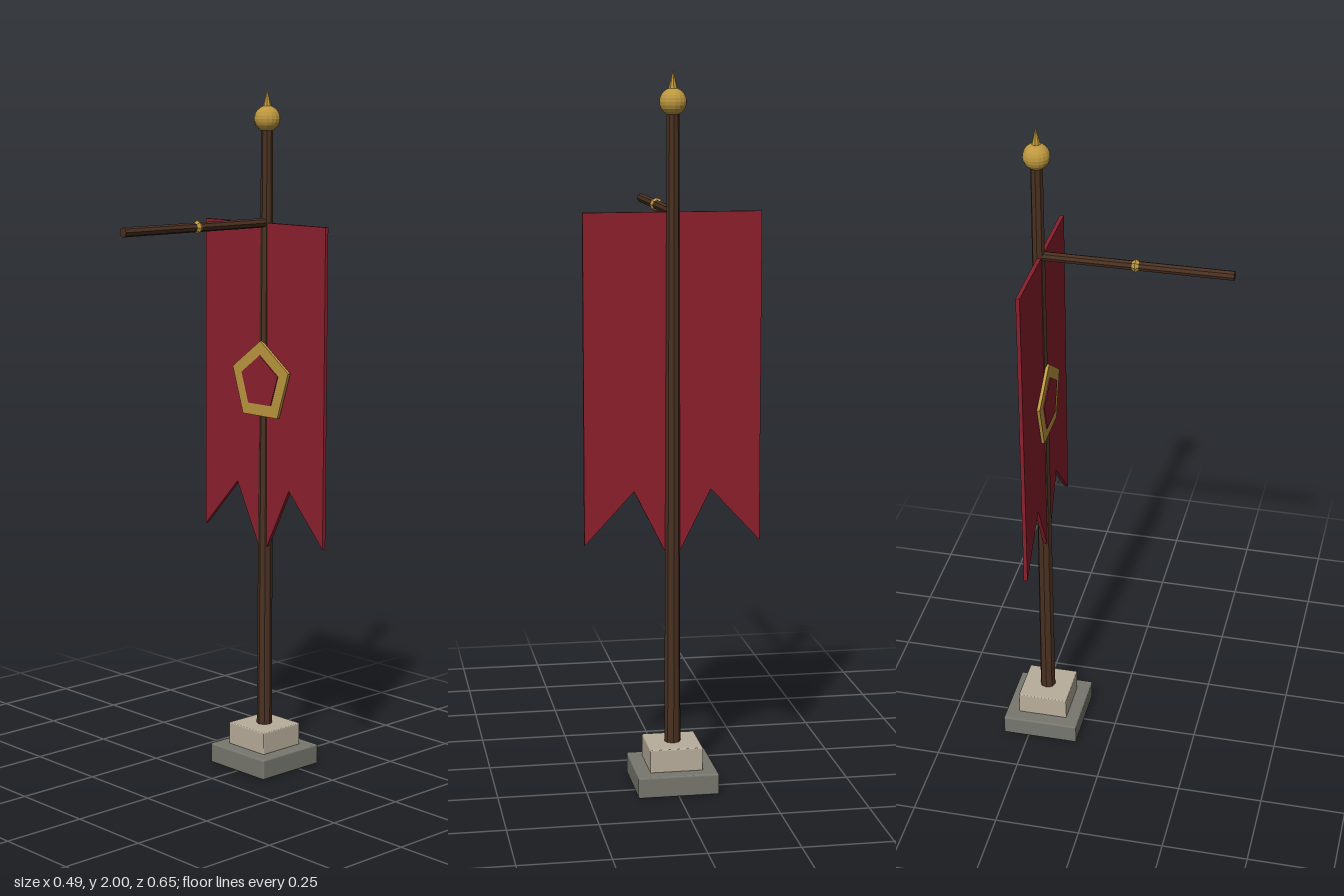
import * as THREE from 'three';
import { RoundedBoxGeometry } from 'three/addons/geometries/RoundedBoxGeometry.js';

const material = (name, color) => {
  const m = new THREE.MeshStandardMaterial({ color, flatShading: true });
  m.name = name;
  return m;
};

export function createModel() {
  const wood = material('dark wood', 0x4a3122);
  const red = material('red cloth', 0x8c1f2d);
  const gold = material('gold', 0xbe983f);
  const stone = material('grey stone', 0x77776f);
  const paleStone = material('pale stone', 0xb9ae9c);

  const model = new THREE.Group();
  model.name = 'bannerPole';
  const poleZ = -0.213;
  const add = (name, geometry, mat, x, y, z) => {
    const mesh = new THREE.Mesh(geometry, mat);
    mesh.name = name;
    mesh.position.set(x, y, z);
    model.add(mesh);
    return mesh;
  };

  // Stepped plinth
  add('lowerPlinth', new RoundedBoxGeometry(0.228, 0.06, 0.228, 2, 0.005), stone, 0, 0.03, poleZ);
  add('upperPlinth', new RoundedBoxGeometry(0.15, 0.068, 0.15, 2, 0.004), paleStone, 0, 0.092, poleZ);

  // Tapered upright and its finial
  add('pole', new THREE.CylinderGeometry(0.017, 0.023, 1.79, 8), wood, 0, 1.005, poleZ);
  add('finialBall', new THREE.SphereGeometry(0.0375, 16, 12), gold, 0, 1.915, poleZ);
  add('finialSpike', new THREE.ConeGeometry(0.015, 0.06, 8), gold, 0, 1.97, poleZ);

  // Arm reaching forward, with a faceted bead at its middle
  const arm = add('arm', new THREE.CylinderGeometry(0.0135, 0.0135, 0.54, 8), wood, 0, 1.62, 0.057);
  arm.rotation.x = Math.PI / 2;
  const beadProfile = [[0.01, -0.0145], [0.0195, 0], [0.01, 0.0145]].map(p => new THREE.Vector2(...p));
  const bead = add('armBead', new THREE.LatheGeometry(beadProfile, 8), gold, 0, 1.62, 0.057);
  bead.rotation.x = Math.PI / 2;

  // Banner with three pointed tails
  const outline = [
    [-0.247, 1.62], [-0.247, 0.7], [-0.108, 0.85], [0, 0.635],
    [0.108, 0.85], [0.247, 0.7], [0.247, 1.62],
  ].map(p => new THREE.Vector2(...p));
  const cloth = new THREE.ExtrudeGeometry(new THREE.Shape(outline), { depth: 0.011, bevelEnabled: false });
  add('banner', cloth, red, 0, 0, -0.213);

  // Five-sided emblem: gold plate with a red centre
  const pentagon = (name, radius, depth, mat, z) => {
    const points = Array.from({ length: 5 }, (_, i) => {
      const a = Math.PI / 2 + (i * Math.PI * 2) / 5;
      return new THREE.Vector2(radius * Math.cos(a), radius * Math.sin(a));
    });
    const geometry = new THREE.ExtrudeGeometry(new THREE.Shape(points), { depth, bevelEnabled: false });
    add(name, geometry, mat, 0, 1.158, z);
  };
  pentagon('emblemPlate', 0.1215, 0.009, gold, -0.198);
  pentagon('emblemCentre', 0.079, 0.006, red, -0.192);

  return model;
}
